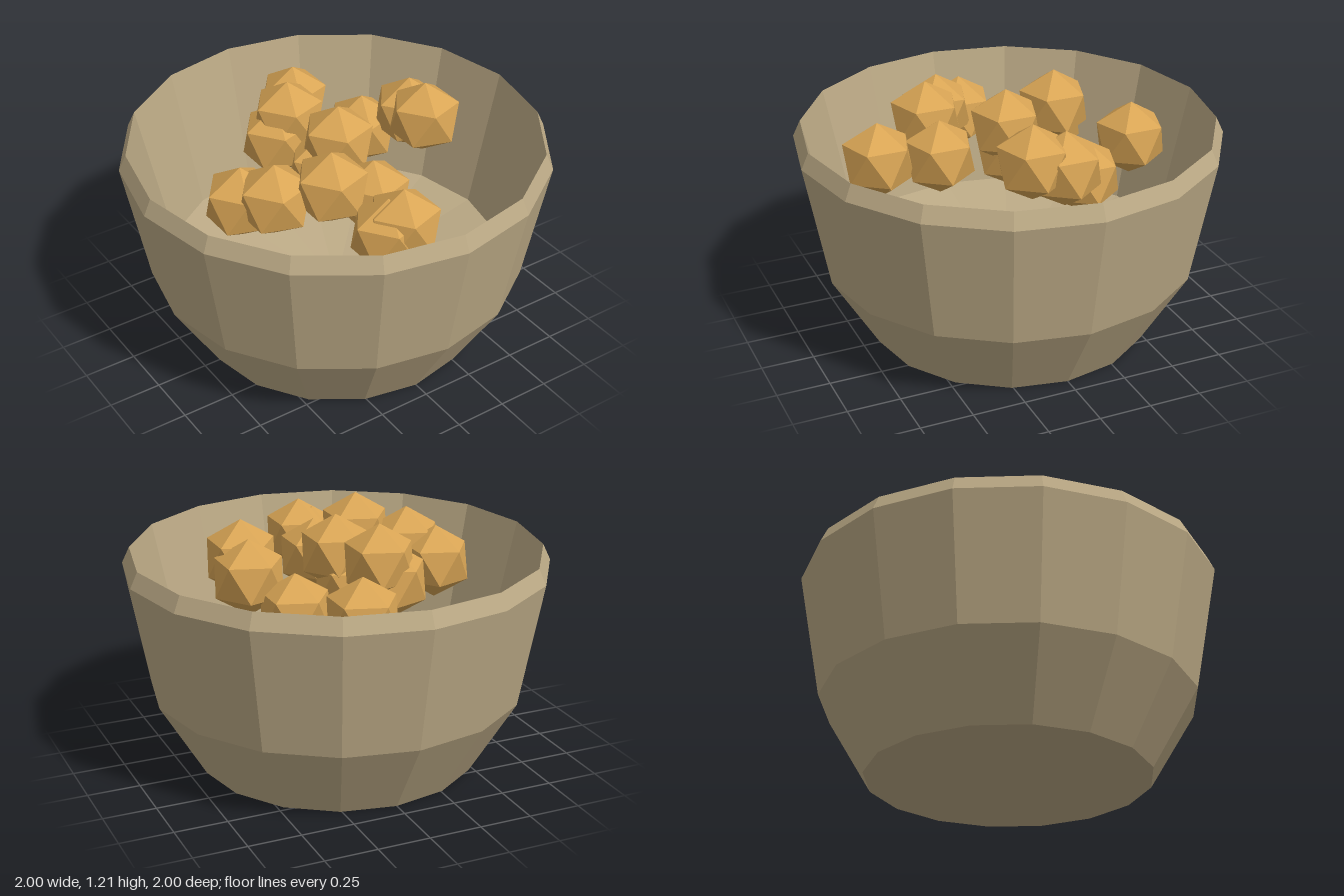
import * as THREE from 'three';

export function createModel() {
  const model = new THREE.Group();
  const clay = new THREE.MeshStandardMaterial({ color: 0xbba985, flatShading: true });
  clay.name = 'clay';
  const golden = new THREE.MeshStandardMaterial({ color: 0xd9a555, flatShading: true });
  golden.name = 'golden';

  // Bowl: underside, flared wall, bevelled rim, inner wall and dished floor
  const profile = [
    [0, 0], [0.67, 0], [0.89, 0.37], [1, 0.965],
    [0.965, 1.04], [0.81, 0.36], [0, 0.18],
  ].map(([r, y]) => new THREE.Vector2(r, y));
  const bowl = new THREE.Mesh(new THREE.LatheGeometry(profile, 16), clay);
  bowl.name = 'bowl';
  model.add(bowl);

  // Faceted balls, each with one corner pointing straight up
  const ballShape = new THREE.IcosahedronGeometry(0.18, 0);
  ballShape.rotateZ(Math.atan2(2, 1 + Math.sqrt(5)));
  const centres = [
    [0.13, 0.9, -0.57], [0.31, 0.84, -0.24], [0.465, 0.97, -0.07], [0.445, 1.02, 0.08],
    [-0.155, 0.93, -0.265], [-0.09, 1.03, -0.27], [-0.05, 0.86, -0.03], [0, 1.01, 0.015],
    [-0.535, 0.885, 0.035], [-0.45, 0.95, 0.185], [-0.24, 1.01, 0.32], [-0.025, 0.9, 0.335],
    [-0.13, 0.88, 0.595], [-0.065, 0.92, 0.62],
  ];
  const balls = new THREE.Group();
  balls.name = 'balls';
  for (const centre of centres) {
    const ball = new THREE.Mesh(ballShape, golden);
    ball.name = 'ball';
    ball.position.set(...centre);
    balls.add(ball);
  }
  model.add(balls);
  return model;
}
